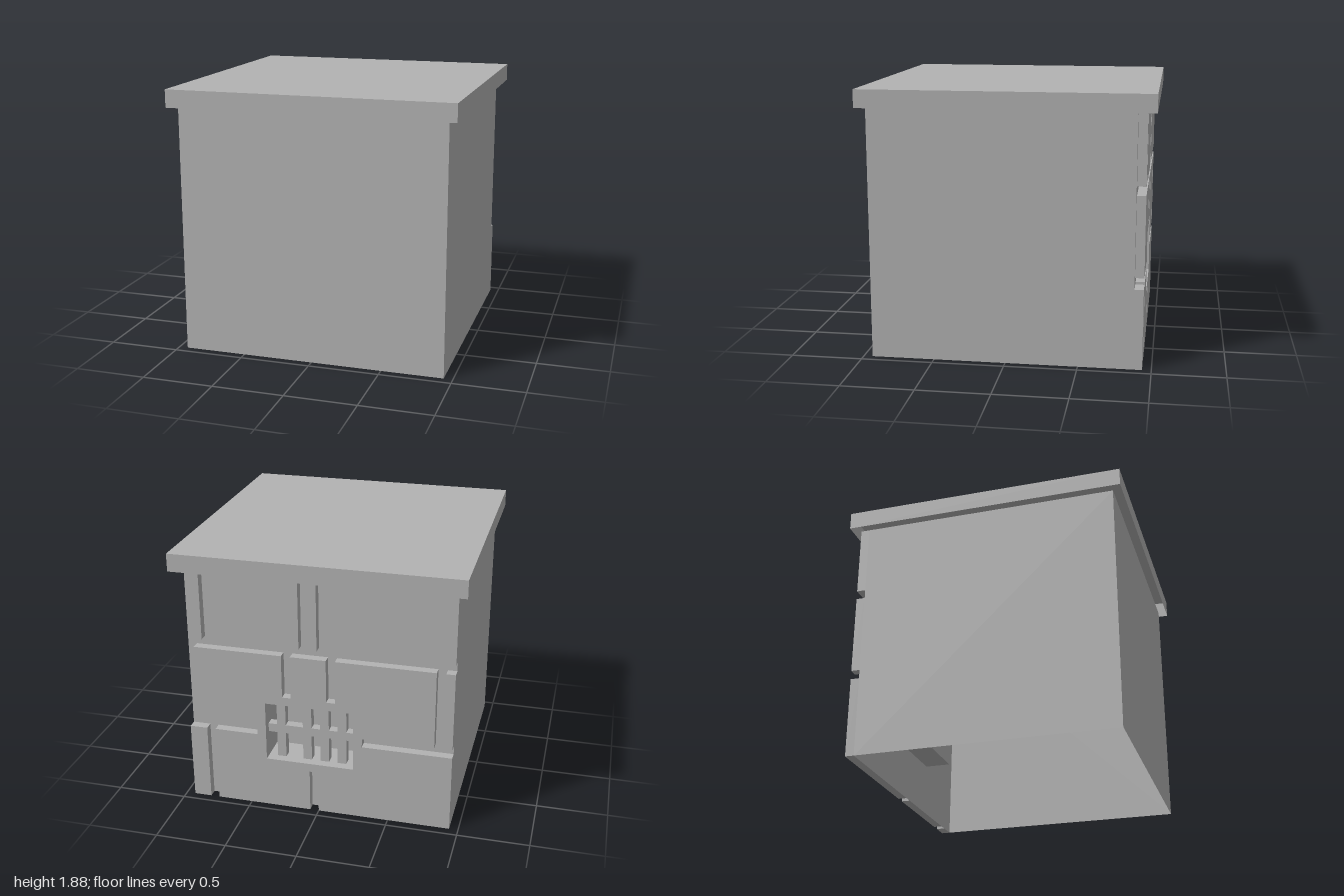
import * as THREE from 'three';

// Everything is laid out on a grid of 1/16 unit; the detailed back wall is
// built facing local +z and then turned round.
const STEP = 1 / 16;

export function createModel() {
  const stone = new THREE.MeshStandardMaterial({ color: 0xb2b2b2, side: THREE.DoubleSide });
  stone.name = 'grey stone';

  const model = new THREE.Group();
  model.name = 'brickBlockWithLid';
  const grid = new THREE.Group();
  grid.name = 'block';
  grid.scale.setScalar(STEP);
  grid.rotation.y = Math.PI;
  model.add(grid);

  function add(name, geometry, x = 0, y = 0, z = 0, parent = grid) {
    const mesh = new THREE.Mesh(geometry, stone);
    mesh.name = name;
    mesh.position.set(x, y, z);
    parent.add(mesh);
    return mesh;
  }

  // Box with only the chosen sides (0 +x, 1 -x, 2 +y, 3 -y, 4 +z, 5 -z)
  function shell(w, h, d, sides) {
    const g = new THREE.BoxGeometry(w, h, d);
    const index = Array.from(g.index.array);
    g.setIndex(sides.flatMap(s => index.slice(s * 6, s * 6 + 6)));
    g.clearGroups();
    return g;
  }

  const outline = pts => new THREE.Shape(pts.map(([u, v]) => new THREE.Vector2(u, v)));
  const rect = (u0, u1, v0, v1) => [[u0, v0], [u1, v0], [u1, v1], [u0, v1]];
  const windowRect = rect(9, 19, 6, 13);

  // Lid, open underneath
  add('lid', shell(32, 2, 32, [0, 1, 2, 4, 5]), 0, 29, 0);

  // Hollow body: front and side walls, then the back wall with its window
  add('bodyWalls', shell(30, 28, 29, [0, 1, 5]), 0, 14, -0.5);
  const wall = outline(rect(0, 30, 0, 28));
  wall.holes.push(outline(windowRect));
  add('backWall', new THREE.ShapeGeometry(wall), -15, 0, 14);

  // Raised brickwork
  const bricks = new THREE.Group();
  bricks.name = 'brickwork';
  grid.add(bricks);
  const raise = (name, shape) => add(name,
    new THREE.ExtrudeGeometry(shape, { depth: 1, bevelEnabled: false }), -15, 0, 14, bricks);

  // Large bricks joined to the window frame
  const framed = outline([
    [3, 0], [14, 0], [14, 5], [15, 5], [15, 0], [30, 0], [30, 9], [20, 9],
    [20, 10], [28, 10], [28, 19], [17, 19], [17, 14], [16, 14], [16, 19],
    [12, 19], [12, 14], [11, 14], [11, 19], [1, 19], [1, 10], [8, 10], [8, 9], [3, 9],
  ]);
  framed.holes.push(outline(windowRect));
  raise('windowBricks', framed);

  // Separate bricks
  for (const r of [
    [0, 2, 0, 9], [29, 30, 10, 19],
    [1, 2, 20, 28], [3, 13, 20, 28], [14, 15, 20, 28], [16, 30, 20, 28],
  ]) raise('brick', outline(rect(...r)));

  // Window recess and bars
  add('windowRecess', shell(10, 7, 3, [0, 1, 2, 3, 5]), -1, 9.5, 12.5);
  for (const u of [10, 13, 15, 17]) {
    add('windowBar', new THREE.BoxGeometry(1, 7, 1), u - 14.5, 9.5, 13.5);
  }
  add('windowCrossbar', new THREE.BoxGeometry(10, 1, 1), -1, 9.5, 13.5);

  return model;
}
